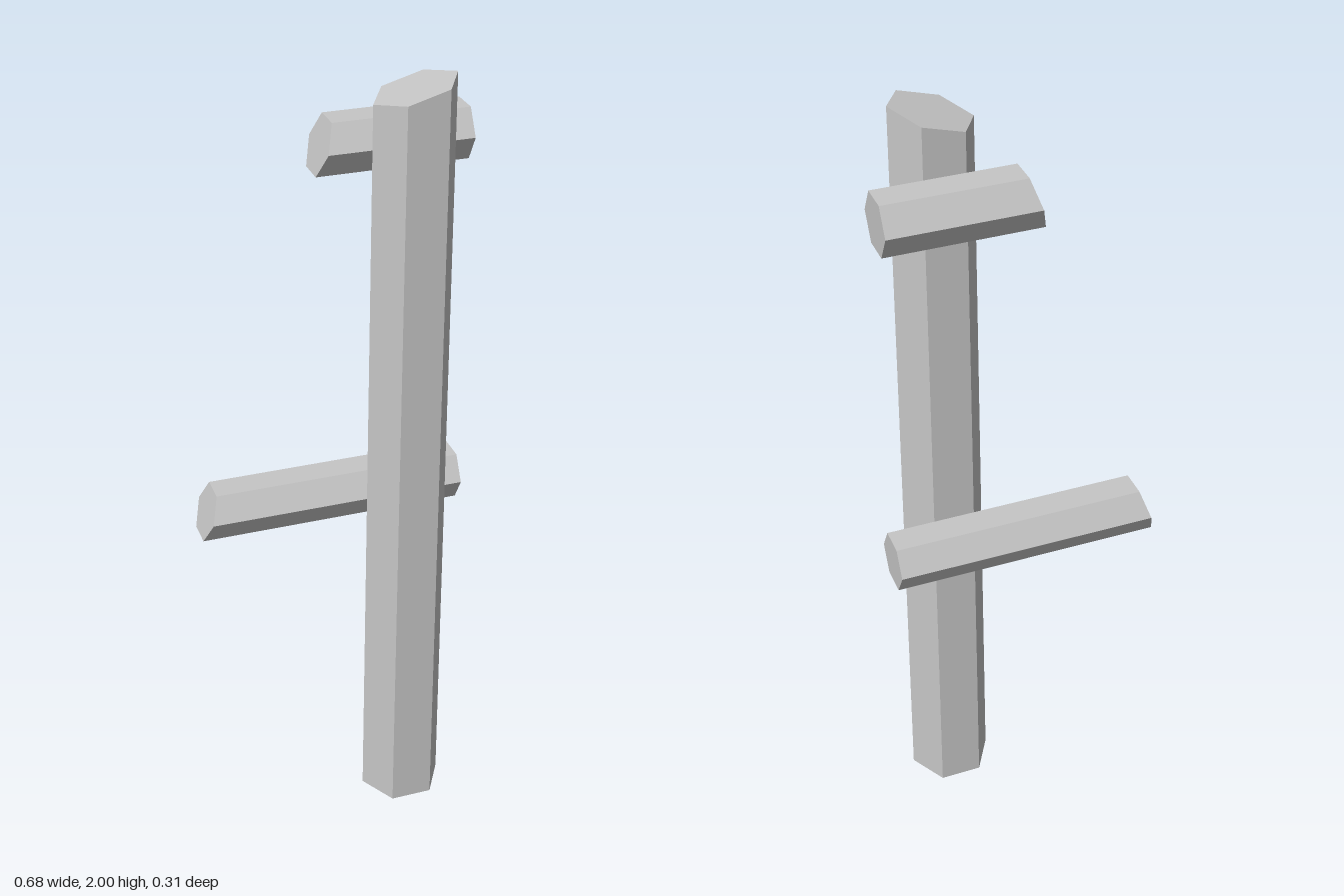
import * as THREE from 'three';

const grey = new THREE.MeshStandardMaterial({ color: 0xc6c6c6 });
grey.name = 'grey';

// Moves vertices by a rule, then gives every face its own flat normal
function shapeFlat(geometry, rule) {
  const p = geometry.attributes.position;
  const v = new THREE.Vector3();
  for (let i = 0; i < p.count; i++) {
    v.fromBufferAttribute(p, i);
    rule(v);
    p.setXYZ(i, v.x, v.y, v.z);
  }
  const flat = geometry.toNonIndexed();
  flat.computeVertexNormals();
  return flat;
}

function addPart(group, name, geometry) {
  const mesh = new THREE.Mesh(geometry, grey);
  mesh.name = name;
  group.add(mesh);
}

// Hexagonal rail along x, square at its left end and cut at a slant at the other
function railGeometry(cutX, y) {
  const r = 0.0725, endX = 0.34;
  const g = new THREE.CylinderGeometry(r, r, 1, 6).rotateZ(Math.PI / 2);
  return shapeFlat(g, (v) => {
    v.x = v.x > 0 ? endX : cutX + v.y * 0.31;
    v.y += y;
    v.z -= 0.0845;
  });
}

export function createModel() {
  const group = new THREE.Group();
  group.name = 'fencePost';

  // Tapered hexagonal post with a slanted top
  const post = new THREE.CylinderGeometry(0.099, 0.108, 1, 6).rotateY(Math.PI / 2);
  addPart(group, 'post', shapeFlat(post, (v) => {
    v.y = v.y > 0 ? 1.972 + v.x * 0.28 + v.z * 0.06 : 0;
    v.x += 0.16;
    v.z += 0.063;
  }));

  // Rails behind the post
  addPart(group, 'lowerRail', railGeometry(-0.32, 0.873));
  addPart(group, 'upperRail', railGeometry(-0.017, 1.808));
  return group;
}
